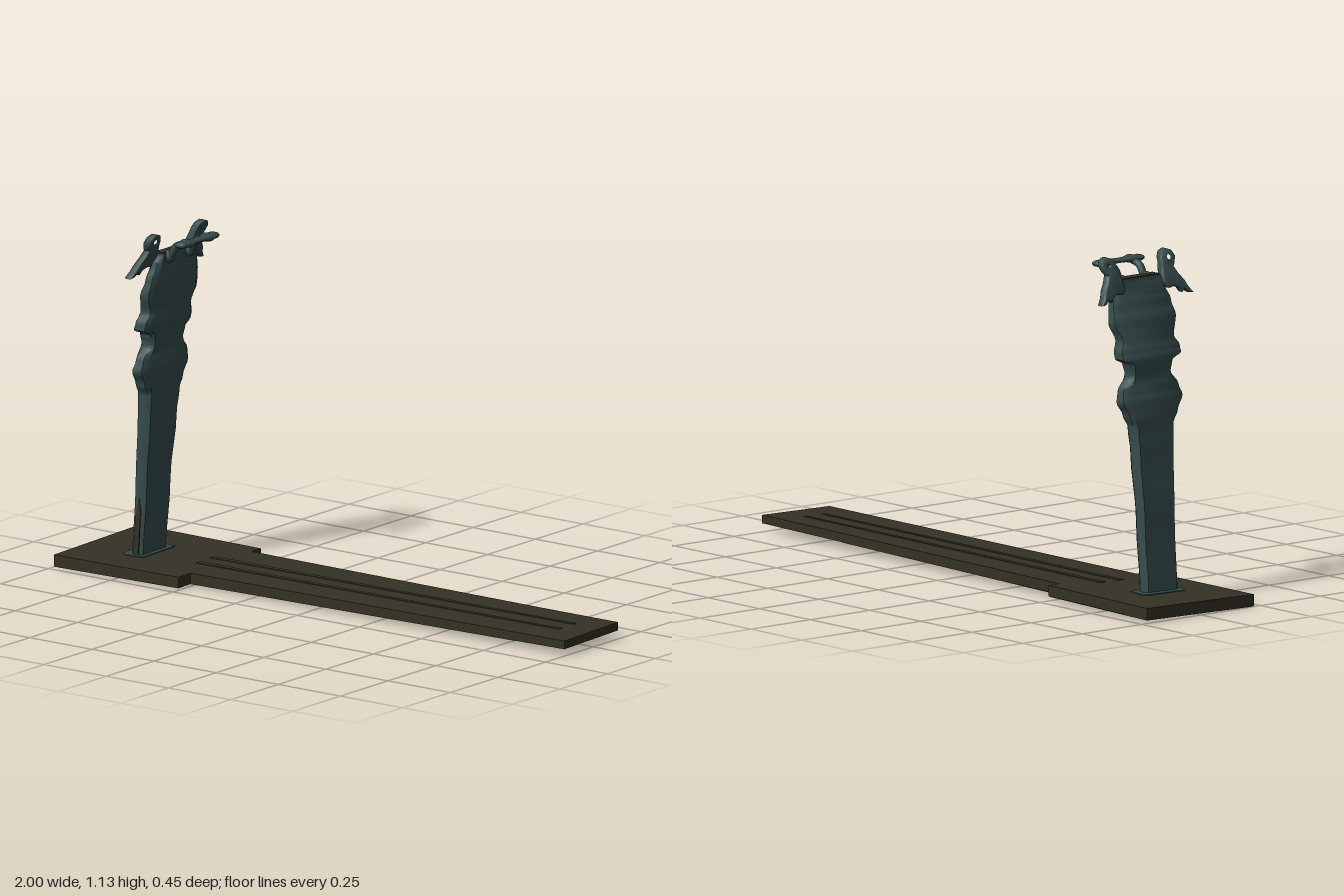
import * as THREE from 'three';
import { toCreasedNormals } from 'three/addons/utils/BufferGeometryUtils.js';

const material = (name, color) => {
  const m = new THREE.MeshStandardMaterial({ color });
  m.name = name;
  return m;
};
const shapeOf = pts => new THREE.Shape(pts.map(p => new THREE.Vector2(p[0], p[1])));

// Move every vertex by a rule, then rebuild normals
function warp(geo, rule, crease = 0.7) {
  const p = geo.attributes.position, v = new THREE.Vector3();
  for (let i = 0; i < p.count; i++) {
    rule(v.fromBufferAttribute(p, i));
    p.setXYZ(i, v.x, v.y, v.z);
  }
  geo.computeVertexNormals();
  return toCreasedNormals(geo, crease);
}

// Plate with an (x, z) outline following the gently tilted base; lo and hi are fractions of its thickness
function slab(pts, lo, hi) {
  const geo = new THREE.ExtrudeGeometry(shapeOf(pts), { depth: 1, bevelEnabled: false });
  geo.rotateX(Math.PI / 2);
  return warp(geo, v => {
    const f = lo + (hi - lo) * (v.y + 1);
    const bottom = 0.008 + 0.0095 * (v.x + 1), top = 0.046 + 0.004 * (v.x + 1);
    v.y = bottom + (top - bottom) * f - 0.02 * v.z;
  });
}

// Post made of chamfered rectangles; rows are y, back x, front x, left z, right z
function postGeometry() {
  const rows = [
    [0.03, -0.800, -0.757, 0.079, -0.056], [0.28, -0.785, -0.740, 0.081, -0.059],
    [0.50, -0.771, -0.720, 0.088, -0.066], [0.58, -0.767, -0.712, 0.092, -0.071],
    [0.62, -0.767, -0.706, 0.112, -0.088], [0.665, -0.763, -0.704, 0.135, -0.112],
    [0.70, -0.757, -0.703, 0.124, -0.107], [0.75, -0.754, -0.700, 0.091, -0.073],
    [0.785, -0.757, -0.694, 0.098, -0.079], [0.803, -0.757, -0.690, 0.134, -0.107],
    [0.825, -0.751, -0.686, 0.134, -0.108], [0.86, -0.745, -0.682, 0.114, -0.098],
    [0.92, -0.732, -0.675, 0.134, -0.122], [0.97, -0.718, -0.668, 0.125, -0.116],
    [1.02, -0.708, -0.662, 0.107, -0.103], [1.055, -0.702, -0.662, 0.092, -0.098],
  ];
  const pos = [], idx = [], rings = [];
  rows.forEach((a, i) => {
    const b = rows[i + 1], n = b ? 4 : 1;
    for (let k = 0; k < n; k++) {
      const t = k / n, s = t * t * (3 - 2 * t);
      rings.push(a.map((q, j) => b ? q + (b[j] - q) * (j ? s : t) : q));
    }
  });
  for (const [y, x0, x1, z1, z0] of rings) {
    const cx = 0.012, cz = 0.008 + 0.35 * Math.max(0, z1 - 0.09);
    [[x0 + cx, z0], [x0, z0 + cz], [x0, z1 - cz], [x0 + cx, z1],
      [x1 - cx, z1], [x1, z1 - cz], [x1, z0 + cz], [x1 - cx, z0]].forEach(([x, z]) => pos.push(x, y, z));
  }
  for (let r = 0; r < rings.length - 1; r++) {
    for (let i = 0; i < 8; i++) {
      const a = r * 8 + i, b = r * 8 + (i + 1) % 8;
      idx.push(a, b, b + 8, a, b + 8, a + 8);
    }
  }
  const last = (rings.length - 1) * 8;
  for (let i = 1; i < 7; i++) idx.push(last, last + i, last + i + 1);
  const geo = new THREE.BufferGeometry();
  geo.setAttribute('position', new THREE.Float32BufferAttribute(pos, 3));
  geo.setIndex(idx);
  return warp(geo, () => {});
}

// Curled ornament with a small eyelet and a forked wing tip
function ornamentGeometry(side) {
  const outline = [[0.085, 1.03], [0.088, 1.06], [0.096, 1.085], [0.098, 1.105], [0.107, 1.12],
    [0.124, 1.126], [0.141, 1.12], [0.149, 1.105], [0.141, 1.085], [0.132, 1.075], [0.146, 1.05],
    [0.165, 1.025], [0.172, 1.008], [0.187, 0.99], [0.178, 0.992], [0.158, 1.007],
    [0.148, 0.998], [0.143, 1.01], [0.120, 1.018], [0.100, 1.015]];
  const shape = shapeOf(outline.map(([z, y]) => [z * side, y]));
  const eye = new THREE.Path();
  eye.absarc(0.124 * side, 1.104, 0.008, 0, Math.PI * 2, true);
  shape.holes.push(eye);
  const geo = new THREE.ExtrudeGeometry(shape, {
    depth: 0.012, bevelEnabled: true, bevelThickness: 0.008, bevelSize: 0.004, bevelSegments: 3, curveSegments: 6,
  });
  geo.rotateY(-Math.PI / 2);
  return warp(geo, v => { v.x += -0.662 + 0.4 * (v.y - 1.12); v.z += 0.007; }, 0.9);
}

export function createModel() {
  const model = new THREE.Group();
  const teal = material('dark teal', 0x374d4d);
  const olive = material('dark olive', 0x343125);
  const add = (name, geo, mat) => {
    const mesh = new THREE.Mesh(geo, mat);
    mesh.name = name;
    model.add(mesh);
    return mesh;
  };

  // Stepped base tapering towards its far end
  add('base', slab([[-1, -0.228], [-0.5, -0.212], [-0.5, -0.166], [0.7, -0.135], [1, -0.131],
    [1, 0.152], [-0.5, 0.157], [-0.5, 0.22], [-1, 0.222]], 0, 1), olive);
  add('baseUnderside', slab([[-0.997, -0.225], [-0.503, -0.209], [-0.503, -0.163], [0.6, -0.135],
    [0.68, -0.09], [0.72, -0.02], [0.73, 0.06], [0.76, 0.12], [0.8, 0.15],
    [-0.503, 0.154], [-0.503, 0.217], [-0.997, 0.219]], -0.06, 0.02), teal);

  // Long low ridges on the base
  for (const z of [-0.035, 0.04]) {
    add('baseRidge', slab([[-0.56, z - 0.01], [0.9, z - 0.006], [0.9, z + 0.006], [-0.56, z + 0.01]], 0.9, 1.07), olive);
  }

  // Leaning post with scalloped sides
  add('postFoot', slab([[-0.825, -0.07], [-0.81, -0.085], [-0.74, -0.075], [-0.74, 0.09],
    [-0.81, 0.098], [-0.825, 0.085]], 0.95, 1.08), teal);
  add('post', postGeometry(), teal);
  const cap = add('postTop', new THREE.BoxGeometry(0.034, 0.006, 0.17), olive);
  cap.position.set(-0.682, 1.0555, -0.003);
  const patch = new THREE.ExtrudeGeometry(
    shapeOf([[-0.788, 0.05], [-0.768, 0.05], [-0.757, 0.2], [-0.764, 0.235], [-0.779, 0.17]]),
    { depth: 0.008, bevelEnabled: false });
  patch.translate(0, 0, 0.0745);
  add('postSidePatch', patch, olive);

  // Ornaments, and the arms that carry the crossbar
  for (const side of [1, -1]) {
    add('ornament', ornamentGeometry(side), teal);
    const z = 0.002 + side * 0.052;
    const path = new THREE.CatmullRomCurve3([[-0.675, 1.02], [-0.655, 1.05], [-0.635, 1.08], [-0.59, 1.094]]
      .map(([x, y]) => new THREE.Vector3(x, y, z)));
    add('barArm', new THREE.TubeGeometry(path, 14, 0.012, 10), teal);
    const knuckle = add('armRoot', new THREE.SphereGeometry(0.022, 14, 10), teal);
    knuckle.position.set(-0.668, 1.042, z);
  }

  // Flattened crossbar with lobes over the arms
  const profile = [[0, -0.1], [0.016, -0.097], [0.022, -0.085], [0.02, -0.072], [0.028, -0.052], [0.018, -0.03],
    [0.016, 0], [0.018, 0.03], [0.028, 0.052], [0.02, 0.072], [0.022, 0.085], [0.016, 0.097], [0, 0.1]];
  const bar = new THREE.LatheGeometry(profile.map(p => new THREE.Vector2(...p)), 16);
  bar.rotateX(Math.PI / 2);
  bar.scale(1, 0.5, 1);
  add('crossbar', bar, teal).position.set(-0.594, 1.095, 0);

  return model;
}
